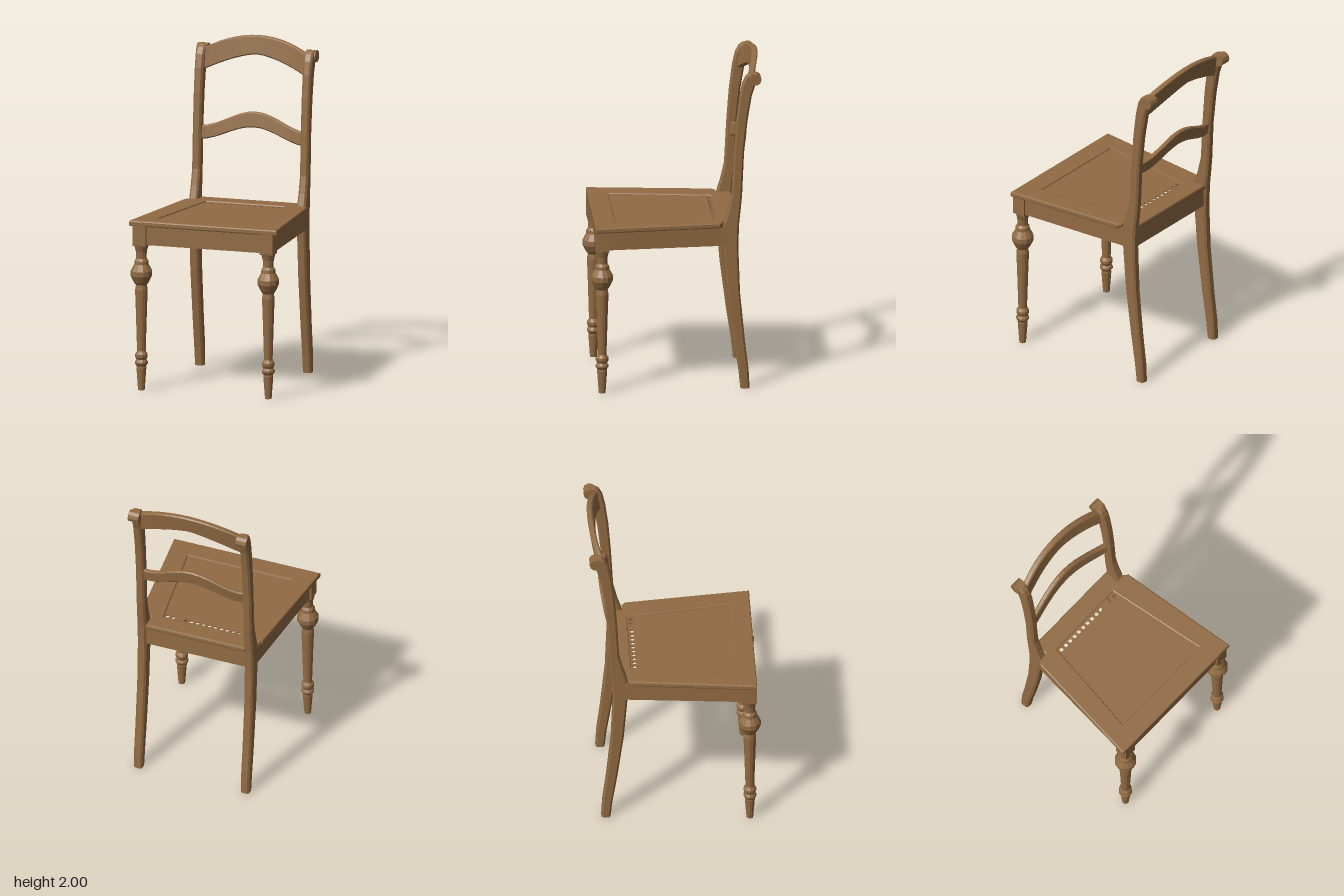
import * as THREE from 'three';

const wood = new THREE.MeshStandardMaterial({ color: 0x916b43, flatShading: true });
wood.name = 'brown wood';

function add(parent, name, geometry) {
  const mesh = new THREE.Mesh(geometry, wood);
  mesh.name = name;
  parent.add(mesh);
  return mesh;
}

// Chamfered rectangle, counter-clockwise
function chamfered(w, h, c) {
  const a = w / 2, b = h / 2;
  return [[a, -b + c], [a, b - c], [a - c, b], [-a + c, b],
    [-a, b - c], [-a, -b + c], [-a + c, -b], [a - c, -b]];
}

// Skin over a list of equal-length rings, closed at both ends
function loft(rings) {
  const n = rings[0].length, index = [];
  rings.slice(1).forEach((_, i) => {
    for (let j = 0; j < n; j++) {
      const a = i * n + j, b = i * n + (j + 1) % n;
      index.push(a, b, b + n, a, b + n, a + n);
    }
  });
  const last = (rings.length - 1) * n;
  for (let j = 1; j < n - 1; j++) {
    index.push(0, j + 1, j, last, last + j, last + j + 1);
  }
  const g = new THREE.BufferGeometry();
  g.setAttribute('position', new THREE.Float32BufferAttribute(rings.flat(2), 3));
  g.setIndex(index);
  const flat = g.toNonIndexed();
  flat.computeVertexNormals();
  return flat;
}

// Horizontal plate from a plan outline given as [x, z]
const plan = (pts) => pts.map(([x, z]) => new THREE.Vector2(x, -z));
function plate(outline, holes, y, options) {
  const shape = new THREE.Shape(plan(outline));
  shape.holes = holes.map((h) => new THREE.Path(plan(h)));
  const g = new THREE.ExtrudeGeometry(shape, options);
  g.rotateX(-Math.PI / 2);
  g.translate(0, y, 0);
  return g;
}

// Curved rail between the back posts
function rail(top, bottom, z, thick) {
  const rings = [];
  for (let i = 0; i <= 14; i++) {
    const t = i / 7 - 1, hi = top(t), lo = bottom(t);
    rings.push(chamfered(hi - lo, thick, 0.007).map(([p, q]) =>
      [t * 0.335, (hi + lo) / 2 + p, z(t) + q - p * 0.15]));
  }
  return loft(rings);
}

// Straight apron board between two plan points
function apron(parent, name, x1, z1, x2, z2) {
  const board = add(parent, name,
    new THREE.BoxGeometry(Math.hypot(x2 - x1, z2 - z1), 0.12, 0.04));
  board.position.set((x1 + x2) / 2, 0.945, (z1 + z2) / 2);
  board.rotation.y = -Math.atan2(z2 - z1, x2 - x1);
}

export function createModel() {
  const model = new THREE.Group();
  model.name = 'chair';
  const chair = new THREE.Group();
  chair.name = 'chairBody';
  chair.rotation.y = -0.59;
  model.add(chair);

  // Seat frame with notches for the back posts
  const half = [[0.465, 0.455], [0.388, -0.285], [0.368, -0.305], [0.315, -0.31], [0.315, -0.395]];
  const outline = [...half, ...half.map(([x, z]) => [-x, z]).reverse()];
  const opening = [[0.33, 0.33], [0.245, -0.28], [-0.245, -0.28], [-0.33, 0.33]];
  add(chair, 'seatFrame', plate(outline, [opening], 1.004, {
    depth: 0.018, bevelThickness: 0.008, bevelSize: 0.009, bevelOffset: -0.009, bevelSegments: 2,
  }));

  // Woven cane panel: a grid of small round openings, closed up in one worn patch
  const holes = [], step = 0.038;
  for (let i = -8; i <= 8; i++) {
    for (let j = 0; j < 16; j++) {
      const x = i * step, z = -0.258 + j * step;
      const limit = 0.245 + (z + 0.28) * 0.139 - 0.016;
      if (Math.abs(x) > limit || Math.hypot(x - 0.165, z + 0.2) < 0.06) continue;
      holes.push(Array.from({ length: 8 }, (_, k) => {
        const a = (k + 0.5) * Math.PI / 4;
        return [x + 0.0125 * Math.cos(a), z + 0.0125 * Math.sin(a)];
      }));
    }
  }
  const caneEdge = opening.map(([x, z]) => [x * 1.04, z * 1.04]);
  add(chair, 'canePanel', plate(caneEdge, holes, 1.014, { depth: 0.007, bevelEnabled: false }));

  // Aprons under the seat
  apron(chair, 'frontApron', -0.4, 0.42, 0.4, 0.42);
  apron(chair, 'backApron', -0.34, -0.365, 0.34, -0.365);
  for (const s of [-1, 1]) apron(chair, 'sideApron', s * 0.41, 0.42, s * 0.345, -0.35);

  // Turned front legs: [radius, height]
  const profile = [[0, 0.005], [0.02, 0.005], [0.03, 0.14], [0.028, 0.15], [0.039, 0.165],
    [0.039, 0.175], [0.03, 0.19], [0.038, 0.205], [0.038, 0.222], [0.026, 0.24], [0.034, 0.5],
    [0.038, 0.61], [0.033, 0.64], [0.045, 0.655], [0.065, 0.695], [0.065, 0.725], [0.043, 0.765],
    [0.042, 0.785], [0.031, 0.8], [0.033, 0.84], [0.045, 0.885], [0, 0.885]]
    .map(([r, y]) => new THREE.Vector2(r, y));
  for (const s of [-1, 1]) {
    const leg = new THREE.Group();
    leg.name = 'frontLeg';
    leg.position.set(s * 0.4, 0, 0.415);
    add(leg, 'turnedLeg', new THREE.LatheGeometry(profile, 12));
    add(leg, 'legBlock', new THREE.BoxGeometry(0.08, 0.125, 0.08)).position.y = 0.94;
    chair.add(leg);
  }

  // Back posts, curved from foot to scroll: [height, z, width, depth]
  const path = [[0.005, -0.436, 0.052, 0.054], [0.12, -0.427, 0.055, 0.06], [0.3, -0.402, 0.055, 0.066],
    [0.6, -0.368, 0.055, 0.076], [0.88, -0.352, 0.055, 0.088], [1.02, -0.355, 0.055, 0.092],
    [1.1, -0.372, 0.053, 0.076], [1.2, -0.388, 0.052, 0.062], [1.45, -0.4, 0.052, 0.06],
    [1.65, -0.418, 0.052, 0.066], [1.8, -0.44, 0.053, 0.072], [1.88, -0.462, 0.055, 0.08],
    [1.92, -0.478, 0.055, 0.07], [1.935, -0.485, 0.05, 0.045]];
  for (const s of [-1, 1]) {
    const rings = path.map(([y, z, w, d]) =>
      chamfered(d, w, 0.011).map(([p, q]) => [s * 0.34 + q, y, z + p]));
    add(chair, 'backPost', loft(rings));
    const scroll = new THREE.CylinderGeometry(0.036, 0.036, 0.066, 10);
    scroll.rotateZ(Math.PI / 2);
    add(chair, 'postScroll', scroll).position.set(s * 0.342, 1.902, -0.497);
  }

  // Crest and middle rails
  const wave = (t) => 0.5 + 0.5 * Math.cos(Math.PI * t);
  add(chair, 'crestRail', rail(
    (t) => 1.91 + 0.09 * (1 - t * t),
    (t) => 1.78 + 0.11 * (1 - Math.abs(t) ** 1.5),
    (t) => -0.455 - 0.05 * (1 - t * t), 0.036));
  add(chair, 'middleRail', rail(
    (t) => 1.455 + 0.095 * wave(t),
    (t) => 1.375 + 0.085 * wave(t),
    (t) => -0.4 - 0.045 * (1 - t * t), 0.03));

  return model;
}
